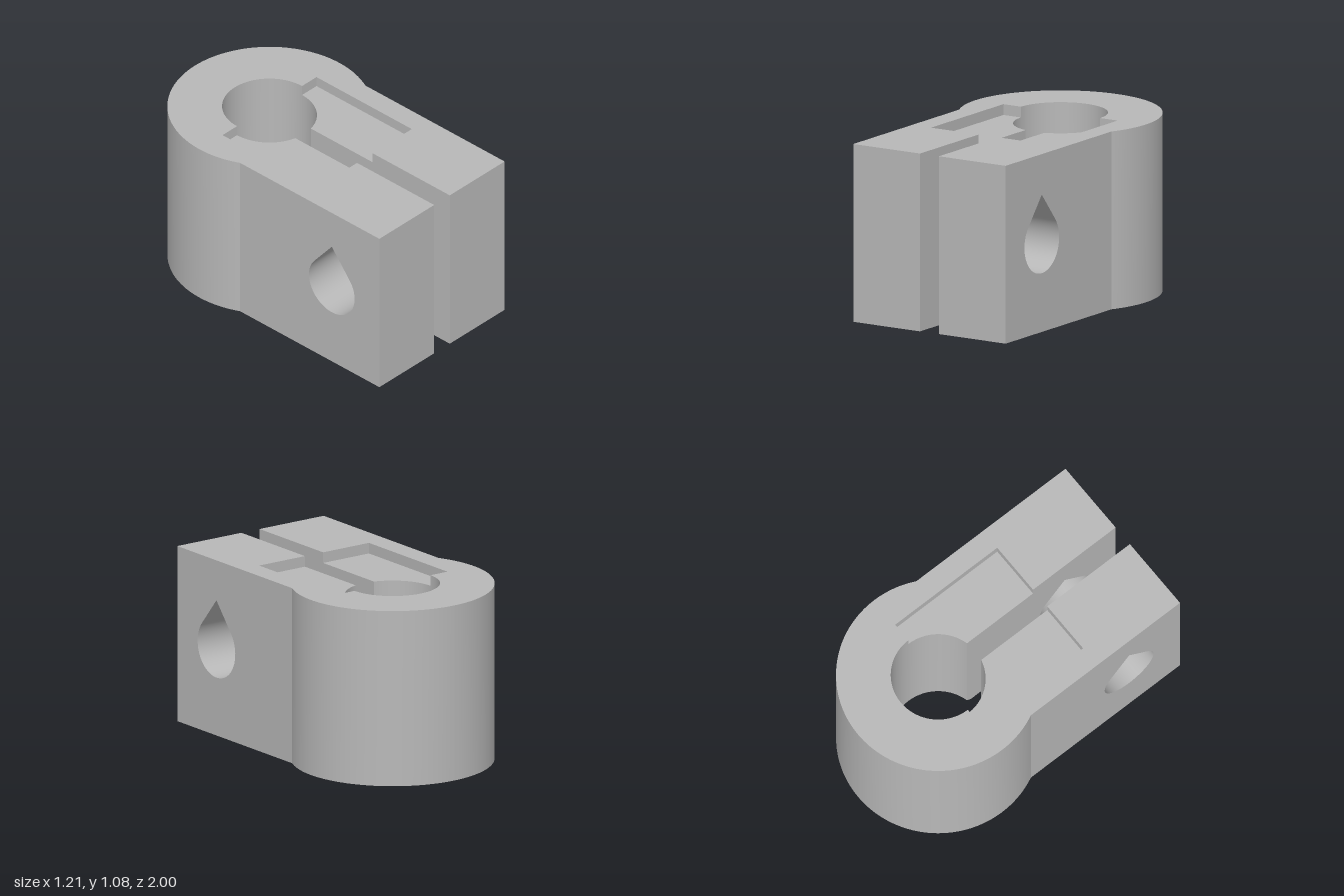
import * as THREE from 'three';
import { mergeGeometries } from 'three/addons/utils/BufferGeometryUtils.js';

const H = 1.075, FLOOR = 1.01, CHAMFER = 0.027; // heights: top, recess floor, bore chamfer
const CZ = -0.397, R = 0.603, BORE = 0.28;       // ring centre and radii
const IN = 0.067, OUT = 0.54;                    // inner and outer x of each arm
const RX = 0.405, RZ = 0.375;                    // recess extents
const HOLE = { z: 0.615, y: 0.54, r: 0.185, tip: 0.29 };

// Points [x, z] on an arc round the ring centre; angle 0 is the back, PI the front
function arc(r, a0, a1, n = 48) {
  return Array.from({ length: n + 1 }, (_, i) => {
    const a = a0 + (a1 - a0) * i / n;
    return [r * Math.sin(a), CZ - r * Math.cos(a)];
  });
}
const frontAngle = (r, x) => Math.PI - Math.asin(x / r);

// Smooth strip between two equally long rows of [x, y, z] points
function strip(a, b) {
  const g = new THREE.BufferGeometry(), n = a.length, index = [];
  for (let i = 0; i < n - 1; i++) index.push(i, i + 1, n + i + 1, i, n + i + 1, n + i);
  g.setAttribute('position', new THREE.Float32BufferAttribute([...a, ...b].flat(), 3));
  g.setIndex(index);
  g.computeVertexNormals();
  return g;
}
const row = (pts, y) => pts.map(([x, z]) => [x, y, z]);
const wall = (pts, y0, y1) => strip(row(pts, y0), row(pts, y1));

// Flat face from 2D points, with an optional hole
function face(pts, hole) {
  const vec = list => list.map(([u, v]) => new THREE.Vector2(u, v));
  const shape = new THREE.Shape(vec(pts));
  if (hole) shape.holes.push(new THREE.Path(vec(hole)));
  const g = new THREE.ShapeGeometry(shape);
  g.deleteAttribute('uv');
  return g;
}
const faceUp = (pts, y) => face(pts.map(([x, z]) => [x, -z])).rotateX(-Math.PI / 2).translate(0, y, 0);
const faceDown = pts => face(pts).rotateX(Math.PI / 2);

// Mirrored copy across x = 0 with its winding turned round
function mirrored(g) {
  const m = g.clone().scale(-1, 1, 1), ix = m.index.array, nrm = m.attributes.normal;
  for (let i = 0; i < ix.length; i += 3) [ix[i], ix[i + 1]] = [ix[i + 1], ix[i]];
  // scale() already turns the normals' x, so only renormalise
  m.normalizeNormals();
  nrm.needsUpdate = true;
  return m;
}

export function createModel() {
  const model = new THREE.Group();
  model.name = 'clampBlock';
  const grey = new THREE.MeshStandardMaterial({ color: 0xb8b8b8 });
  grey.name = 'grey';
  const add = (name, ...parts) => {
    const mesh = new THREE.Mesh(mergeGeometries(parts.flatMap(p => [p, mirrored(p)])), grey);
    mesh.name = name;
    model.add(mesh);
  };

  // Plan outlines, +x half only
  const outer = arc(R, 0, frontAngle(R, OUT));
  const mid = Math.PI - Math.acos((-0.4 - CZ) / BORE) > 0 ? Math.PI / 2 : 0;
  const boreBack = arc(BORE, 0, mid);
  const boreFront = arc(BORE, mid, frontAngle(BORE, IN));
  const bore = [...boreBack, ...boreFront.slice(1)];
  const wide = BORE + CHAMFER;
  const a1 = frontAngle(wide, IN);
  const zOuter = outer.at(-1)[1], zBore = bore.at(-1)[1];
  const zWide = arc(wide, a1, a1, 1)[0][1];

  // Ring: outside wall, bore and chamfered lower mouth
  add('ringOutside', wall([...outer].reverse(), 0, H));
  add('bore', wall(boreBack, CHAMFER, H), wall(boreFront, CHAMFER, FLOOR));
  add('boreChamfer', strip(row(arc(wide, 0, a1), 0), row(arc(BORE, 0, frontAngle(BORE, IN)), CHAMFER)));

  // Top face around the recess, and the underside
  add('topFace', faceUp([...outer, [OUT, 1], [IN, 1], [IN, RZ], [RX, RZ], [RX, CZ],
    ...[...boreBack].reverse()], H));
  add('underside', faceDown([...outer, [OUT, 1], [IN, 1], ...arc(wide, a1, 0)]));

  // Shallow recess in the top
  add('recess',
    faceUp([...boreFront, [IN, RZ], [RX, RZ], [RX, CZ]], FLOOR),
    wall([[BORE, CZ], [RX, CZ]], FLOOR, H),
    wall([[RX, CZ], [RX, RZ]], FLOOR, H),
    wall([[RX, RZ], [IN, RZ]], FLOOR, H));

  // Teardrop hole outline [z, y]: round below, pointed above
  const sweep = Math.PI - Math.acos(HOLE.r / HOLE.tip);
  const round = Array.from({ length: 49 }, (_, i) => {
    const t = sweep * (i / 24 - 1);
    return [HOLE.z + HOLE.r * Math.sin(t), HOLE.y - HOLE.r * Math.cos(t)];
  });
  const tip = [HOLE.z, HOLE.y + HOLE.tip];
  const drop = [...round, tip];

  // Arms: outer sides, slot sides and ends
  const flip = pts => pts.map(([z, y]) => [-z, y]);
  add('armOuterSide', face(flip([[zOuter, 0], [1, 0], [1, H], [zOuter, H]]), flip(drop))
    .rotateY(Math.PI / 2).translate(OUT, 0, 0));
  add('slotSide', face([[zWide, 0], [1, 0], [1, H], [RZ, H], [RZ, FLOOR], [zBore, FLOOR], [zBore, CHAMFER]], drop)
    .rotateY(-Math.PI / 2).translate(IN, 0, 0));
  add('armEnd', wall([[IN, 1], [OUT, 1]], 0, H));

  // Teardrop tunnel through each arm
  const tunnel = pts => strip(pts.map(([z, y]) => [IN, y, z]), pts.map(([z, y]) => [OUT, y, z]));
  add('teardropHole', tunnel(round), tunnel([round.at(-1), tip]), tunnel([tip, round[0]]));
  return model;
}
